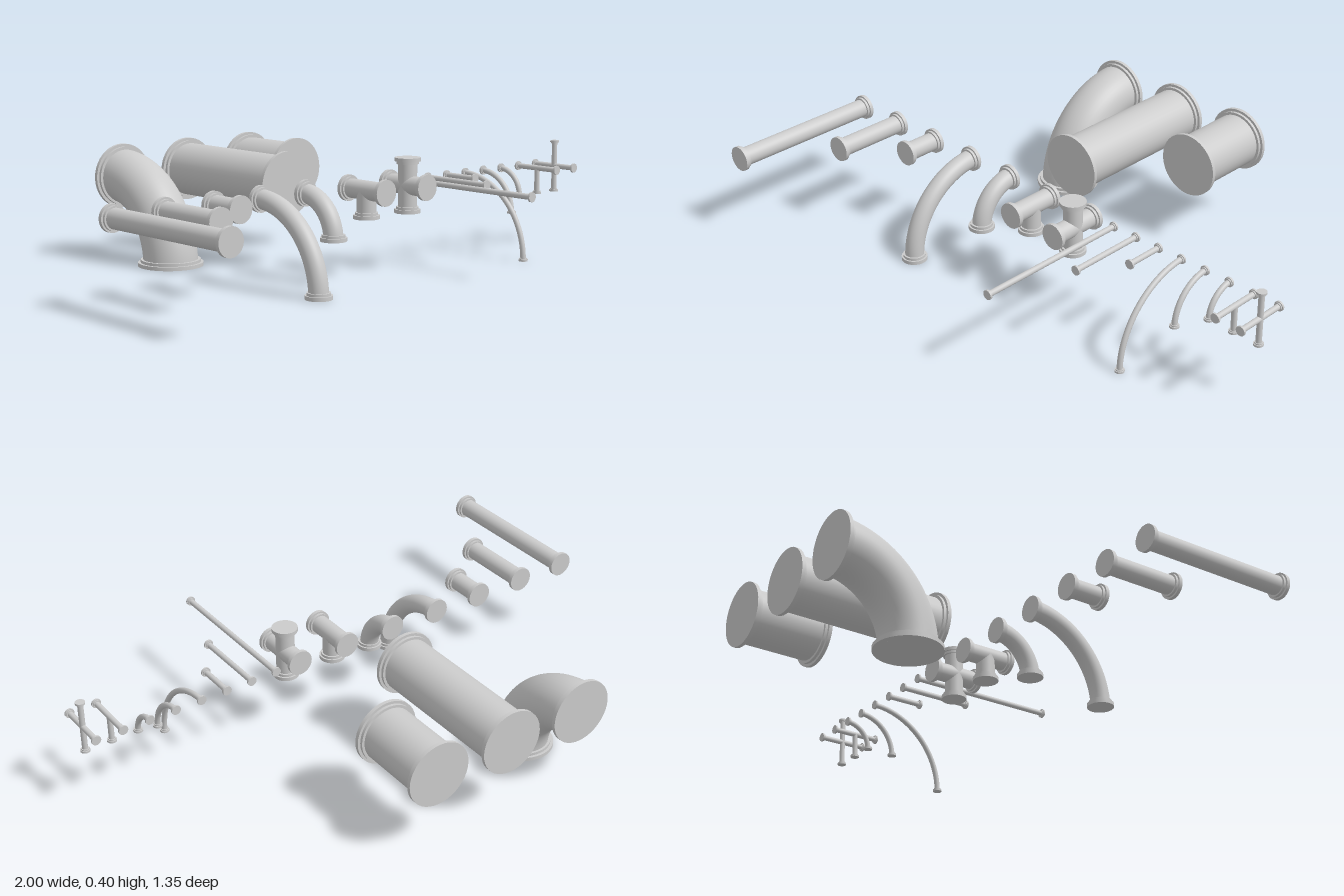
import * as THREE from 'three';

const material = new THREE.MeshStandardMaterial({ color: 0xcccccc });
const UP = new THREE.Vector3(0, 1, 0);
const AXIS_Y = 0.294; // height of every pipe's axis
const UNIT = 0.2875; // standard length; also the wide bend radius

// Pipe gauges: body radius, flange radius, flange thickness, collar thickness
const LARGE = { r: 0.095, flange: 0.114, thick: 0.013, collar: 0.01 };
const MEDIUM = { r: 0.033, flange: 0.045, thick: 0.013, collar: 0.009 };
const THIN = { r: 0.0098, flange: 0.0165, thick: 0.007, collar: 0.004 };

const v = (y, z) => new THREE.Vector3(0, y, z);

function addMesh(group, geometry, name) {
  const mesh = new THREE.Mesh(geometry, material);
  mesh.name = name;
  group.add(mesh);
  return mesh;
}

// Cylinder of a given height starting at a point and running along a direction
function addRod(group, name, start, dir, height, radius, open = false) {
  const geo = new THREE.CylinderGeometry(radius, radius, height, 40, 1, open);
  const mesh = addMesh(group, geo, name);
  mesh.quaternion.setFromUnitVectors(UP, dir);
  mesh.position.copy(start).addScaledVector(dir, height / 2);
}

// Closed end plate plus a narrower collar, built inward from the pipe's end
function addFlange(group, end, inward, g) {
  addRod(group, 'flange', end, inward, g.thick, g.flange);
  const inner = end.clone().addScaledVector(inward, g.thick);
  addRod(group, 'flangeCollar', inner, inward, g.collar, (g.flange + g.r) / 2);
}

function addStraight(group, a, b, g) {
  const dir = b.clone().sub(a);
  const length = dir.length();
  dir.normalize();
  addRod(group, 'pipeBody', a, dir, length, g.r, true);
  addFlange(group, a, dir, g);
  addFlange(group, b, dir.clone().negate(), g);
}

// Open-ended stub from a junction centre to a flanged end
function addBranch(group, centre, dir, length, g) {
  addRod(group, 'branch', centre, dir, length, g.r, true);
  addFlange(group, centre.clone().addScaledVector(dir, length), dir.clone().negate(), g);
}

// Quarter bend that leaves along +z and turns straight down
function addElbow(group, z, bend, g) {
  class Bend extends THREE.Curve {
    getPoint(t, target = new THREE.Vector3()) {
      const a = t * Math.PI / 2;
      return target.set(0, bend * (Math.cos(a) - 1), z + bend * Math.sin(a));
    }
  }
  addMesh(group, new THREE.TubeGeometry(new Bend(), 36, g.r, 40), 'elbowBody');
  addFlange(group, v(0, z), v(0, 1), g);
  addFlange(group, v(-bend, z + bend), v(1, 0), g);
}

export function createModel() {
  const model = new THREE.Group();
  model.name = 'pipeSet';

  function part(name, x) {
    const group = new THREE.Group();
    group.name = name;
    group.position.set(x, AXIS_Y, 0);
    model.add(group);
    return group;
  }

  // Large row at the back
  const back = -0.673;
  addElbow(part('largeElbow', -0.374), back, UNIT, LARGE);
  addStraight(part('largeLongPipe', -0.083), v(0, back), v(0, back + 2 * UNIT), LARGE);
  addStraight(part('largeShortPipe', 0.207), v(0, back), v(0, back + UNIT), LARGE);

  // Medium and thin rows share the same sequence of fittings
  const z0 = 0.098;
  const stub = UNIT / 3;
  function addRow(prefix, x0, spacing, g, bends) {
    let x = x0;
    const next = (name) => {
      const group = part(prefix + name, x);
      x += spacing;
      return group;
    };
    for (const [name, k] of [['LongPipe', 2], ['MidPipe', 1], ['ShortPipe', 0.5]]) {
      addStraight(next(name), v(0, z0), v(0, z0 + k * UNIT), g);
    }
    for (const bend of bends) addElbow(next('Elbow'), z0, bend, g);
    for (const [name, directions] of [['TeeFitting', [-1]], ['CrossFitting', [-1, 1]]]) {
      const group = next(name);
      addStraight(group, v(0, z0), v(0, z0 + 2 * stub), g);
      for (const d of directions) addBranch(group, v(0, z0 + stub), v(d, 0), stub, g);
    }
  }
  addRow('medium', -0.955, 0.1938, MEDIUM, [UNIT, UNIT / 2]);
  addRow('thin', 0.3045, 0.0969, THIN, [UNIT, UNIT / 2, UNIT / 3]);

  return model;
}
